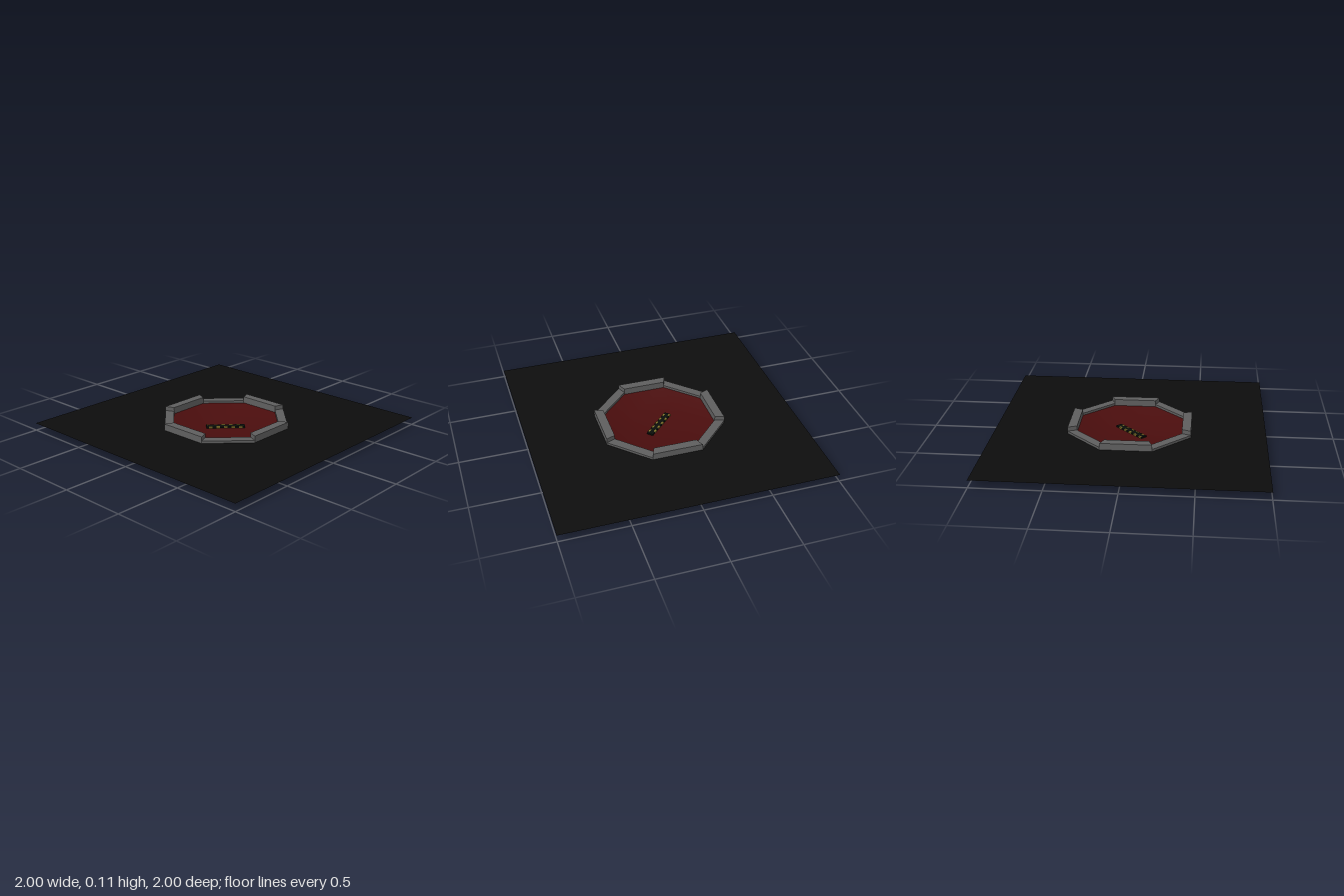
import * as THREE from 'three';

export function createModel() {
  const group = new THREE.Group();
  const mat = (name, color, side = THREE.FrontSide) => {
    const m = new THREE.MeshStandardMaterial({ color, side });
    m.name = name;
    return m;
  };
  const black = mat('groundBlack', 0x0d0d0d, THREE.DoubleSide);
  const grey = mat('stoneGrey', 0x5f5f5f);
  const red = mat('basinRed', 0x4a0d0d, THREE.DoubleSide);
  const dark = mat('barDark', 0x0a0f0a);
  const yellow = mat('markYellow', 0x85752a);

  const add = (name, geometry, material, parent = group) => {
    const mesh = new THREE.Mesh(geometry, material);
    mesh.name = name;
    parent.add(mesh);
    return mesh;
  };

  const OUTER = 0.452, INNER = 0.386, T = Math.tan(Math.PI / 8);
  const BASE = 0.055;
  const octagon = (apothem) => Array.from({ length: 8 }, (_, i) => {
    const a = (i + 0.5) * Math.PI / 4, r = apothem / Math.cos(Math.PI / 8);
    return new THREE.Vector2(Math.cos(a) * r, Math.sin(a) * r);
  });

  // flat ground sheet with an octagonal opening
  const sheet = new THREE.Shape([[-1, -1], [1, -1], [1, 1], [-1, 1]].map(([x, y]) => new THREE.Vector2(x, y)));
  sheet.holes.push(new THREE.Path(octagon(OUTER)));
  add('ground', new THREE.ShapeGeometry(sheet).rotateX(-Math.PI / 2).translate(0, BASE, 0), black);

  // mitred rim: tall straight sides, low diagonal sides
  const wedge = new THREE.Shape([
    [-INNER * T, INNER], [INNER * T, INNER], [OUTER * T, OUTER], [-OUTER * T, OUTER],
  ].map(([x, y]) => new THREE.Vector2(x, y)));
  for (let i = 0; i < 8; i++) {
    const depth = (i % 2 ? 0.073 : 0.105) - BASE;
    const geo = new THREE.ExtrudeGeometry(wedge, { depth, bevelEnabled: false });
    geo.rotateX(-Math.PI / 2).translate(0, BASE, 0).rotateY(i * Math.PI / 4);
    add(i % 2 ? 'lowRim' : 'tallRim', geo, grey);
  }

  // shallow basin: octagonal edge sloping to a square floor
  const S = INNER * T, FLOOR = 0.002, pos = [], index = [];
  octagon(INNER).forEach((p) => pos.push(p.x, BASE, p.y));
  [[S, S], [-S, S], [-S, -S], [S, -S]].forEach(([x, z]) => pos.push(x, FLOOR, z));
  for (let k = 0; k < 4; k++) {
    const s = 8 + k, next = 8 + (k + 1) % 4, a = 2 * k, b = a + 1, c = (a + 2) % 8;
    index.push(s, b, a, s, next, c, s, c, b);
  }
  index.push(8, 11, 10, 8, 10, 9);
  const basin = new THREE.BufferGeometry();
  basin.setAttribute('position', new THREE.Float32BufferAttribute(pos, 3));
  basin.setIndex(index);
  basin.computeVertexNormals();
  add('basin', basin, red);

  // spotted bar lying diagonally on the floor
  const bar = new THREE.Group();
  bar.name = 'spottedBar';
  bar.rotation.y = -Math.PI / 4;
  group.add(bar);
  add('barBody', new THREE.BoxGeometry(0.29, 0.012, 0.05).translate(0, 0.007, 0), dark, bar);
  for (const side of [-1, 1]) {
    for (let i = 0; i < 5; i++) {
      const x = -0.12 + i * 0.056 + side * 0.008;
      add('barSpot', new THREE.BoxGeometry(0.026, 0.014, 0.014).translate(x, 0.007, side * 0.0195), yellow, bar);
    }
  }
  return group;
}
